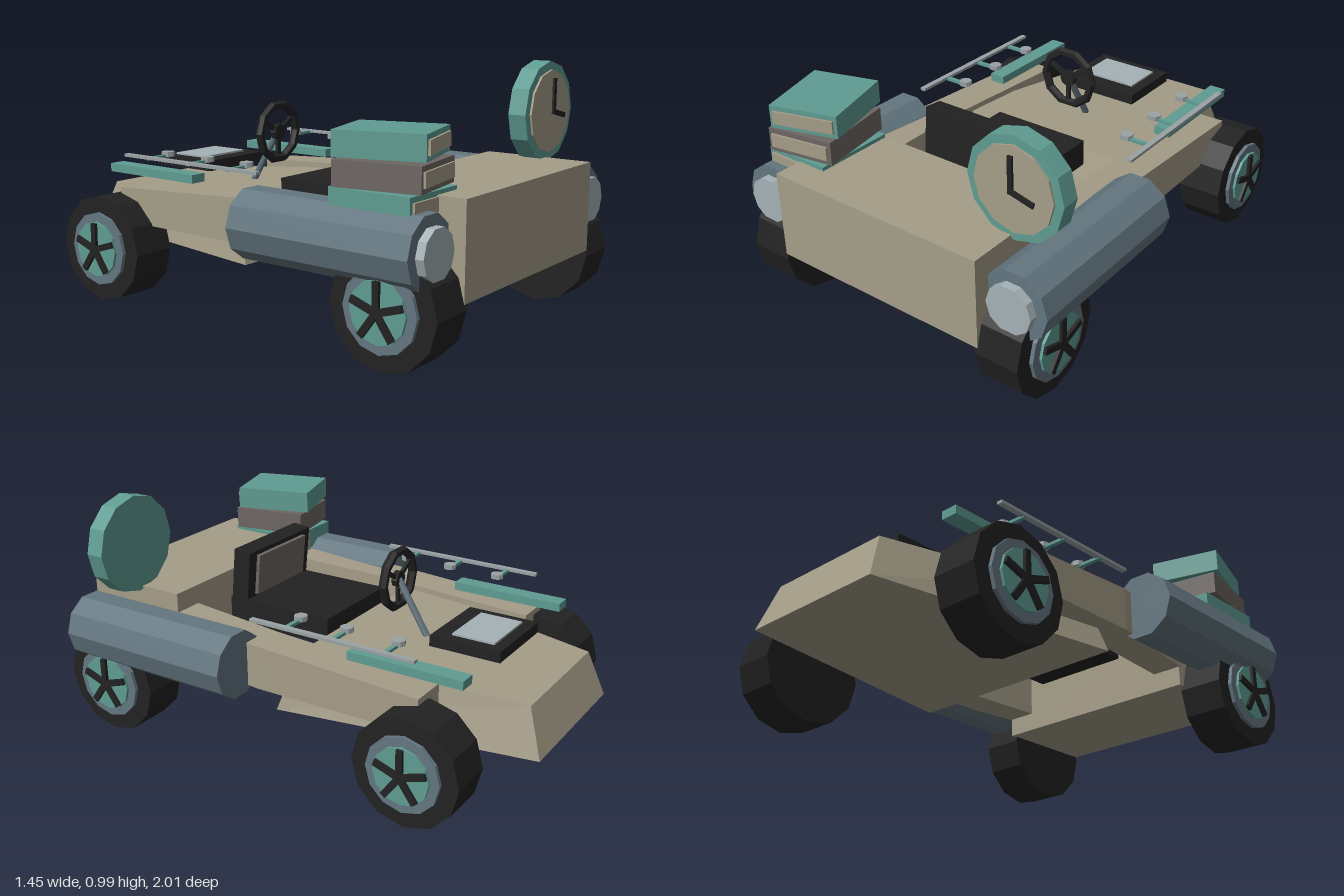
import * as THREE from 'three';

const mat = (name, color) => {
  const m = new THREE.MeshStandardMaterial({ color });
  m.name = name;
  return m;
};

export function createModel() {
  const root = new THREE.Group();
  root.name = 'buggy';
  const tan = mat('tan', 0xa59d88), teal = mat('teal', 0x5f9c92), slate = mat('slate', 0x647680);
  const black = mat('black', 0x222223), glass = mat('paleGlass', 0xa5b2b6);
  const brown = mat('greyBrown', 0x6d6763), silver = mat('silver', 0x9aa2a5);

  // Adds a faceted mesh
  const add = (name, geo, material, x = 0, y = 0, z = 0, parent = root) => {
    const g = geo.index ? geo.toNonIndexed() : geo;
    g.computeVertexNormals();
    const m = new THREE.Mesh(g, material);
    m.name = name;
    m.position.set(x, y, z);
    parent.add(m);
    return m;
  };
  // Box given by its limits on each axis
  const block = (name, material, x0, x1, y0, y1, z0, z1, parent = root) =>
    add(name, new THREE.BoxGeometry(x1 - x0, y1 - y0, z1 - z0), material,
      (x0 + x1) / 2, (y0 + y1) / 2, (z0 + z1) / 2, parent);
  // Box whose corners are placed by a rule on the signs of x, y, z
  const shaped = (name, material, rule) => {
    const g = new THREE.BoxGeometry(1, 1, 1), p = g.attributes.position;
    for (let i = 0; i < p.count; i++) p.setXYZ(i, ...rule(p.getX(i) * 2, p.getY(i) * 2, p.getZ(i) * 2));
    return add(name, g, material);
  };
  const cylZ = (r, len, n) => new THREE.CylinderGeometry(r, r, len, n).rotateY(Math.PI / 2).rotateX(Math.PI / 2);
  const cylX = (r, len, n) => new THREE.CylinderGeometry(r, r, len, n).rotateZ(Math.PI / 2);

  // Body: rear box and tapered nose
  block('rearBox', tan, -0.478, 0.478, 0.24, 0.6, 0.545, 1);
  shaped('noseHull', tan, (x, y, z) => {
    if (y < 0) return [x * (z > 0 ? 0.5 : 0.325), 0.225, z > 0 ? 0.04 : -1];
    return [x * (z > 0 ? 0.435 : 0.283), z > 0 ? 0.47 : 0.413, z > 0 ? -0.035 : -0.935];
  });

  for (const s of [1, -1]) {
    // Side beams in two lengths, widest beside the seat
    const beam = (name, a, b) => shaped(name, tan, (x, y, z) => {
      const e = z > 0 ? b : a;
      return [s * (x * s > 0 ? e.out : e.inn), y > 0 ? e.top : 0.32, e.z];
    });
    const nose = { z: -0.615, inn: 0.385, out: 0.54, top: 0.462 };
    const mid = { z: 0.1, inn: 0.385, out: 0.545, top: 0.5 };
    const back = { z: 0.56, inn: 0.35, out: 0.48, top: 0.52 };
    beam('sideBeamFront', nose, mid);
    beam('sideBeamRear', mid, back);

    // Rear pods with lamps
    add('pod', cylZ(0.138, 0.785, 10), slate, s * 0.587, 0.427, 0.54);
    add('lamp', cylZ(0.095, 0.035, 10), glass, s * 0.585, 0.427, 0.948);

    // Side rack: teal box, long bar, cross rods and knobs
    const rack = new THREE.Group();
    rack.name = 'sideRack';
    root.add(rack);
    add('rackBox', new THREE.BoxGeometry(0.07, 0.035, 0.485), teal, s * 0.435, 0.522, -0.512, rack);
    add('rackBar', new THREE.BoxGeometry(0.024, 0.012, 0.725), silver, s * 0.525, 0.598, -0.23, rack);
    for (const z of [-0.46, -0.235, -0.025]) {
      add('rackRod', new THREE.BoxGeometry(0.12, 0.012, 0.018), teal, s * 0.47, 0.594, z, rack);
      add('rackKnob', new THREE.CylinderGeometry(0.027, 0.027, 0.02, 8), silver, s * 0.415, 0.602, z, rack);
    }

    // Wheels with rim, hub and five spokes
    for (const z of [0.785, -0.625]) {
      const wheel = new THREE.Group();
      wheel.name = z > 0 ? 'rearWheel' : 'noseWheel';
      wheel.position.set(0, 0.22, z);
      root.add(wheel);
      add('tyre', cylX(0.22, 0.183, 12), black, s * 0.56, 0, 0, wheel);
      add('rim', cylX(0.152, 0.03, 12), slate, s * 0.652, 0, 0, wheel);
      add('hub', cylX(0.115, 0.03, 12), teal, s * 0.663, 0, 0, wheel);
      for (let i = 0; i < 5; i++) {
        const spoke = new THREE.BoxGeometry(0.022, 0.11, 0.026).translate(0, 0.055, 0);
        spoke.rotateX(i * Math.PI * 2 / 5);
        add('spoke', spoke, black, s * 0.68, 0, 0, wheel);
      }
    }
  }

  // Seat with leaning backrest
  block('seatCushion', black, -0.218, 0.218, 0.41, 0.522, -0.015, 0.475);
  const backrest = new THREE.Group();
  backrest.name = 'backrest';
  backrest.position.set(0, 0.47, 0.435);
  backrest.rotation.x = -0.1;
  root.add(backrest);
  block('backrestShell', black, -0.215, 0.215, 0, 0.264, -0.04, 0.04, backrest);
  block('backrestPad', brown, -0.165, 0.165, 0.07, 0.245, -0.056, -0.039, backrest);

  // Steering wheel and column
  const steering = new THREE.Group();
  steering.name = 'steering';
  steering.position.set(0, 0.67, -0.215);
  root.add(steering);
  add('steeringRing', new THREE.TorusGeometry(0.118, 0.019, 6, 10).rotateZ(Math.PI / 10 * 2), black, 0, 0, 0, steering);
  add('steeringHub', cylZ(0.035, 0.025, 8), black, 0, 0, 0, steering);
  for (let i = 0; i < 3; i++) {
    const arm = new THREE.BoxGeometry(0.018, 0.11, 0.014).translate(0, 0.055, 0);
    add('steeringArm', arm.rotateZ(Math.PI / 3 + i * Math.PI * 2 / 3), black, 0, 0, 0, steering);
  }
  const column = new THREE.CylinderGeometry(0.014, 0.014, 0.26, 8);
  add('steeringColumn', column.rotateX(0.55), slate, 0, -0.11, -0.07, steering);

  // Screen above the nose
  block('screenFrame', black, -0.173, 0.173, 0.495, 0.54, -0.757, -0.457);
  block('screenGlass', glass, -0.126, 0.126, 0.54, 0.548, -0.71, -0.53);

  // Stack of books on the right rear
  const books = [
    [teal, 0.29, 0.335, 0.525, 0.615, 0, 0.717],
    [brown, 0.285, 0.33, 0.62, 0.715, 0.17, 0.72],
    [teal, 0.286, 0.334, 0.725, 0.818, 0.285, 0.71],
  ];
  for (const [material, w, d, y0, y1, turn, z] of books) {
    const book = new THREE.Group();
    book.name = 'book';
    book.position.set(-0.495, 0, z);
    book.rotation.y = turn;
    root.add(book);
    block('bookCover', material, -w / 2, w / 2, y0, y1, -d / 2, d / 2, book);
    block('bookPages', tan, -w / 2 + 0.015, w / 2 - 0.015, y0 + 0.02, y1 - 0.02, d / 2, d / 2 + 0.009, book);
  }

  // Clock on the left rear
  const clock = new THREE.Group();
  clock.name = 'clock';
  clock.position.set(0.494, 0.787, 0);
  root.add(clock);
  add('clockCase', cylZ(0.203, 0.075, 12), teal, 0, 0, 0.767, clock);
  add('clockFace', cylZ(0.168, 0.009, 12), tan, 0, 0, 0.809, clock);
  block('minuteHand', black, -0.01, 0.01, -0.01, 0.135, 0.822, 0.831, clock);
  const hourHand = new THREE.BoxGeometry(0.105, 0.02, 0.009).translate(0.046, 0, 0);
  add('hourHand', hourHand.rotateZ(-0.23), black, 0, 0, 0.8265, clock);

  return root;
}
